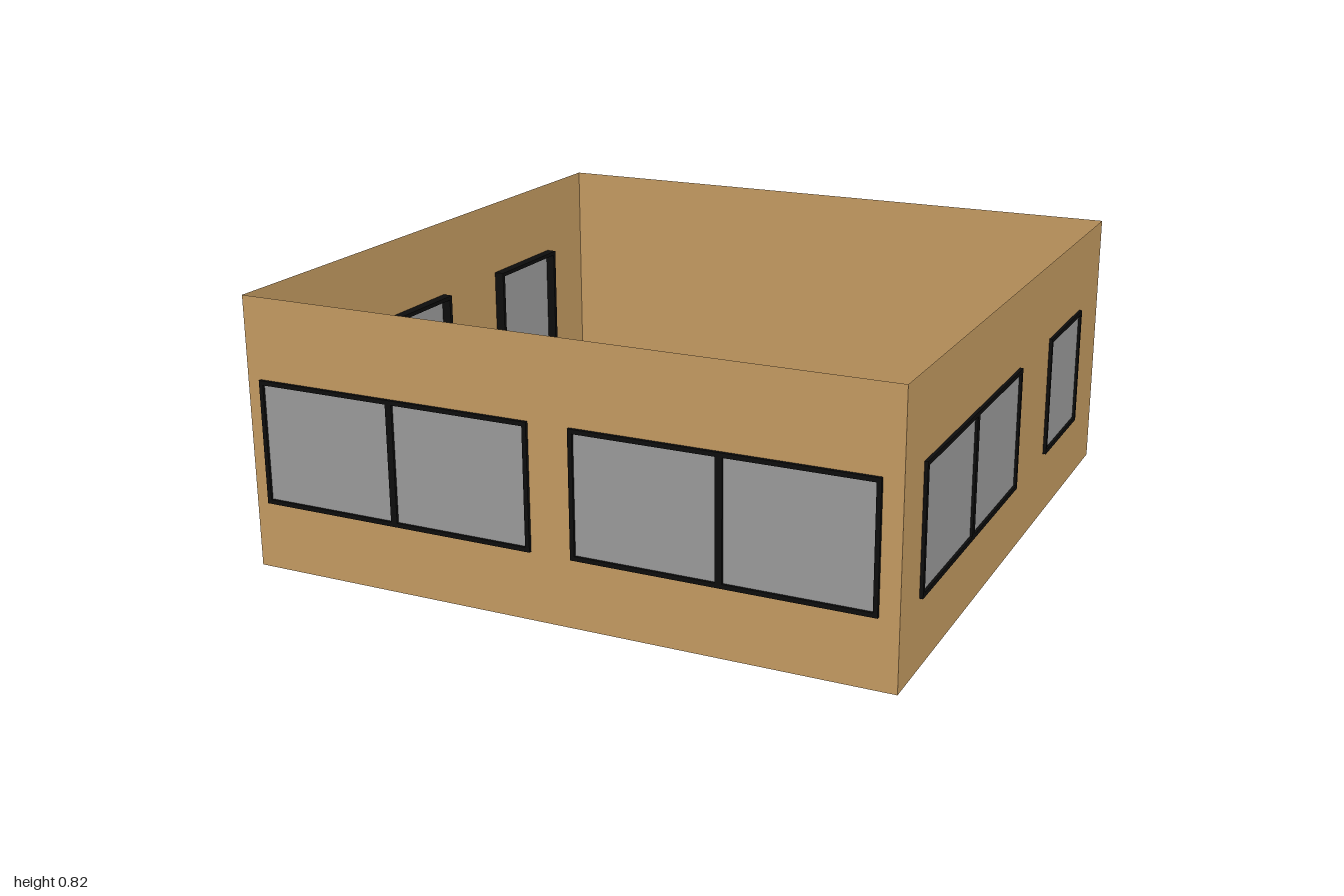
import * as THREE from 'three';

const H = 0.825, Y0 = 0.205, Y1 = 0.58;   // wall height, window sill and head
const BAR = 0.013, OUT = 0.01, DEPTH = 0.042;
const WX = 0.99, WF = 0.984, WB = -0.994; // wall planes: sides, front, back

const wood = new THREE.MeshStandardMaterial({ color: 0xc69c62, side: THREE.DoubleSide });
const black = new THREE.MeshStandardMaterial({ color: 0x0d0d0d });
const grey = new THREE.MeshStandardMaterial({ color: 0x9c9c9c });

function rect(path, a, b, y0, y1) {
  path.moveTo(a, y0);
  path.lineTo(b, y0);
  path.lineTo(b, y1);
  path.lineTo(a, y1);
  path.closePath();
  return path;
}

// Framed window between a and b, with a central mullion when it has two panes
function makeWindow(a, b, panes) {
  const g = new THREE.Group();
  g.name = panes > 1 ? 'doubleWindow' : 'singleWindow';
  const shape = rect(new THREE.Shape(), a, b, Y0, Y1);
  const mid = (a + b) / 2;
  const spans = panes > 1 ? [[a + BAR, mid - 0.01], [mid + 0.01, b - BAR]] : [[a + BAR, b - BAR]];
  for (const [p, q] of spans) {
    shape.holes.push(rect(new THREE.Path(), p, q, Y0 + BAR, Y1 - BAR));
    const pane = new THREE.Mesh(new THREE.BoxGeometry(q - p, Y1 - Y0 - 2 * BAR, 0.004), grey);
    pane.name = 'glassPane';
    pane.position.set((p + q) / 2, (Y0 + Y1) / 2, 0);
    g.add(pane);
  }
  const frame = new THREE.Mesh(new THREE.ExtrudeGeometry(shape, { depth: DEPTH, bevelEnabled: false }), black);
  frame.name = 'windowFrame';
  frame.position.z = OUT - DEPTH;
  g.add(frame);
  return g;
}

// Thin wall from a to b in its own plane, outside facing local +z
function makeWall(name, a, b, windows) {
  const g = new THREE.Group();
  g.name = name;
  const shape = rect(new THREE.Shape(), a, b, 0, H);
  for (const [p, q, panes] of windows) {
    shape.holes.push(rect(new THREE.Path(), p + BAR / 2, q - BAR / 2, Y0 + BAR / 2, Y1 - BAR / 2));
    g.add(makeWindow(p, q, panes));
  }
  const panel = new THREE.Mesh(new THREE.ShapeGeometry(shape), wood);
  panel.name = 'wallPanel';
  g.add(panel);
  return g;
}

export function createModel() {
  const model = new THREE.Group();
  model.name = 'roomWalls';

  const front = makeWall('frontWall', -WX, WX, [[-0.946, -0.069, 2], [0.057, 0.934, 2]]);
  front.position.z = WF;
  const back = makeWall('backWall', -WX, WX, []);
  back.position.z = WB;
  back.rotation.y = Math.PI;
  model.add(front, back);

  // Side walls mirror each other: a double window forward, a single one behind
  for (const s of [1, -1]) {
    const span = (z0, z1) => (s > 0 ? [-z1, -z0] : [z0, z1]);
    const side = makeWall(s > 0 ? 'leftWall' : 'rightWall', ...span(WB, WF), [
      [...span(-0.042, 0.834), 2],
      [...span(-0.744, -0.372), 1],
    ]);
    side.position.x = s * WX;
    side.rotation.y = s * Math.PI / 2;
    model.add(side);
  }
  return model;
}
